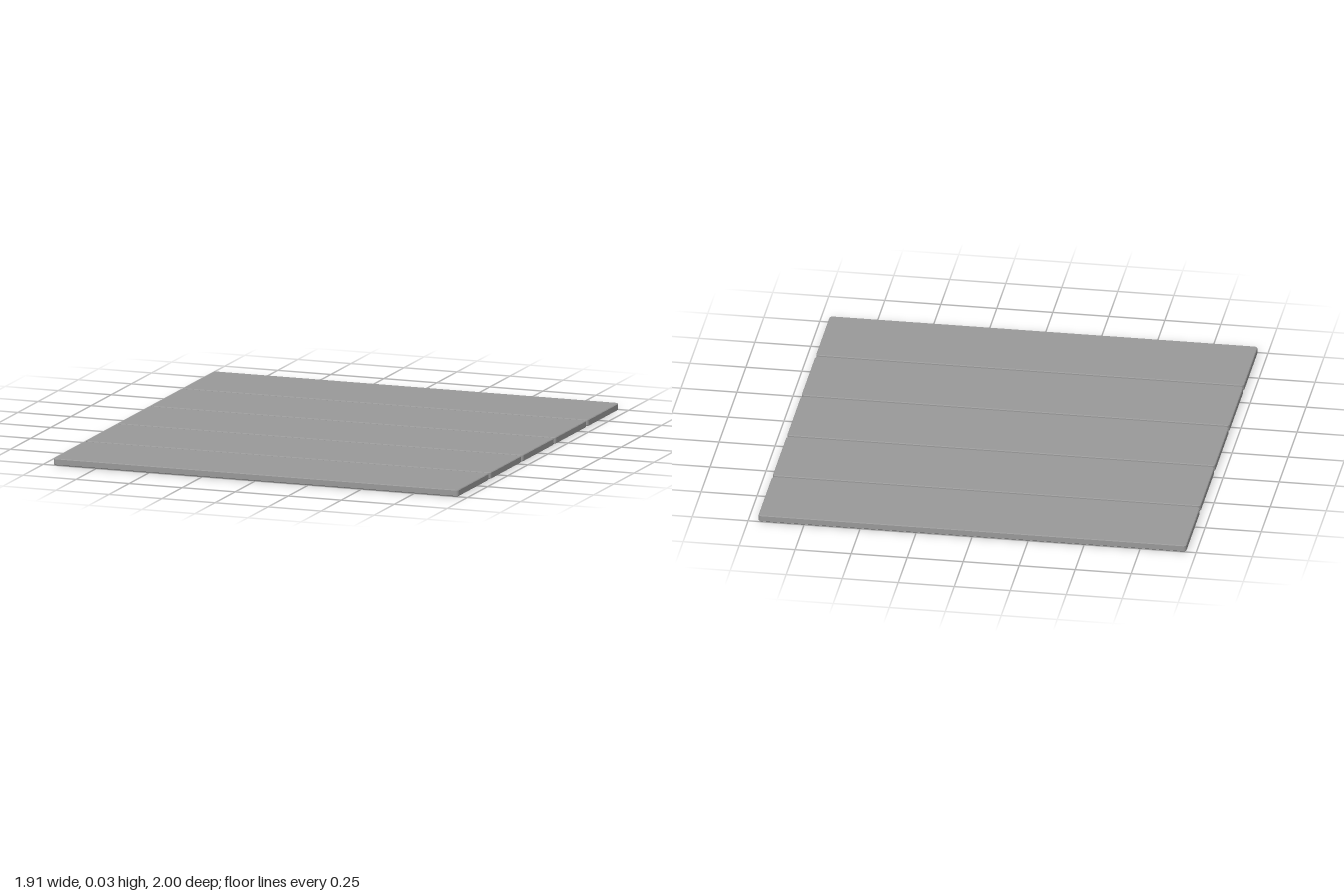
import * as THREE from 'three';

const LENGTH = 1.91, WIDTH = 0.39, THICKNESS = 0.03, RADIUS = 0.015, BEVEL = 0.003;
const COUNT = 5, PITCH = (2 - WIDTH) / (COUNT - 1);

// Plank outline: a rectangle with rounded corners
function plankShape() {
  const x = LENGTH / 2 - RADIUS, y = WIDTH / 2 - RADIUS;
  const shape = new THREE.Shape();
  shape.absarc(x, y, RADIUS, 0, Math.PI / 2);
  shape.absarc(-x, y, RADIUS, Math.PI / 2, Math.PI);
  shape.absarc(-x, -y, RADIUS, Math.PI, Math.PI * 1.5);
  shape.absarc(x, -y, RADIUS, Math.PI * 1.5, Math.PI * 2);
  shape.closePath();
  return shape;
}

export function createModel() {
  const group = new THREE.Group();
  group.name = 'plankPanel';
  const material = new THREE.MeshStandardMaterial({ color: 0x999999 });

  // Laid flat with finely eased edges, standing on y = 0
  const geometry = new THREE.ExtrudeGeometry(plankShape(), {
    depth: THICKNESS - 2 * BEVEL, curveSegments: 6,
    bevelThickness: BEVEL, bevelSize: BEVEL, bevelOffset: -BEVEL, bevelSegments: 1,
  });
  geometry.rotateX(-Math.PI / 2);
  geometry.translate(0, BEVEL, 0);

  // Row of equal planks with narrow gaps, back to front
  for (let i = 0; i < COUNT; i++) {
    const plank = new THREE.Mesh(geometry, material);
    plank.name = `plank${i + 1}`;
    plank.position.z = (i - (COUNT - 1) / 2) * PITCH;
    group.add(plank);
  }
  return group;
}
